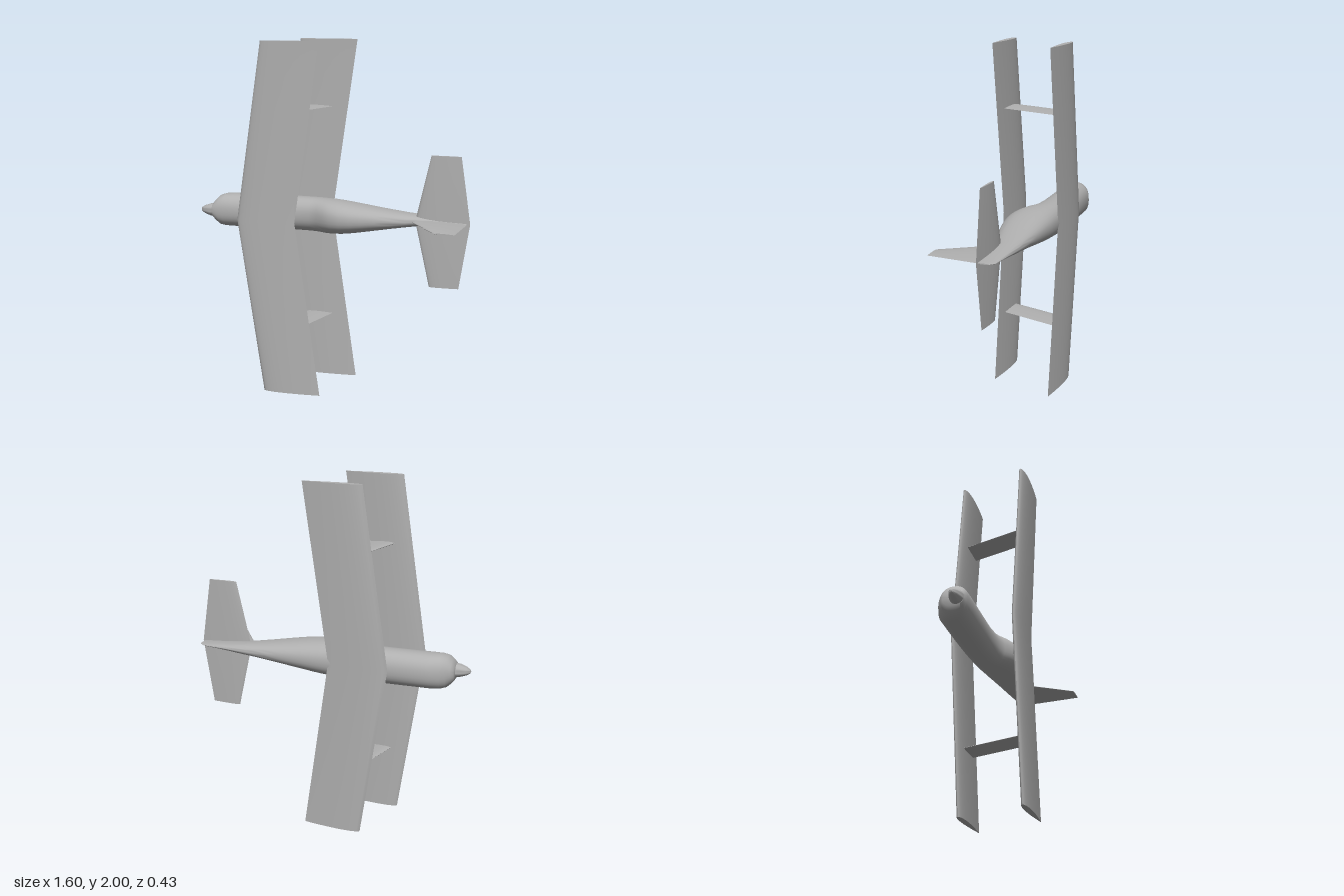
import * as THREE from 'three';
import { toCreasedNormals } from 'three/addons/utils/BufferGeometryUtils.js';

const grey = new THREE.MeshStandardMaterial({ color: 0xb0b0b0 });
grey.name = 'plain grey';

// Skin a row of closed rings and cap both ends; winding is fixed by signed volume.
function loft(name, rings, crease = 0.6) {
  const n = rings[0].length;
  const points = rings.flat();
  const index = [];
  for (let r = 0; r < rings.length - 1; r++) {
    for (let i = 0; i < n; i++) {
      const a = r * n + i, b = r * n + (i + 1) % n;
      index.push(a, b, b + n, a, b + n, a + n);
    }
  }
  // end caps as fans around the ring centres
  const cap = (start, flip) => {
    const centre = new THREE.Vector3();
    for (let i = 0; i < n; i++) centre.addScaledVector(points[start + i], 1 / n);
    const c = points.push(centre) - 1;
    for (let i = 0; i < n; i++) {
      const a = start + i, b = start + (i + 1) % n;
      index.push(c, flip ? b : a, flip ? a : b);
    }
  };
  cap(0, true);
  cap((rings.length - 1) * n, false);

  let volume = 0;
  const cross = new THREE.Vector3();
  for (let i = 0; i < index.length; i += 3) {
    cross.crossVectors(points[index[i + 1]], points[index[i + 2]]);
    volume += points[index[i]].dot(cross);
  }
  if (volume < 0) index.reverse();

  const geometry = new THREE.BufferGeometry().setFromPoints(points);
  geometry.setIndex(index);
  const mesh = new THREE.Mesh(toCreasedNormals(geometry, crease), grey);
  mesh.name = name;
  return mesh;
}

// Symmetric aerofoil as [chord fraction, offset] pairs.
function aerofoil(lead, trail, thickness, steps = 14) {
  const pts = [];
  const half = (t) => 5 * thickness *
    (0.2969 * Math.sqrt(t) - 0.126 * t - 0.3516 * t * t + 0.2843 * t ** 3 - 0.1036 * t ** 4);
  for (let i = 0; i < 2 * steps; i++) {
    const a = (i / steps) * Math.PI;
    const t = (1 + Math.cos(a)) / 2;
    pts.push([lead + (trail - lead) * t, (i <= steps ? 1 : -1) * half(t)]);
  }
  return pts;
}

// Surface spanning y, from stations [y, lead x, trail x, thickness] at height z.
function spanSurface(name, z, stations) {
  return loft(name, stations.map(([y, lead, trail, th]) =>
    aerofoil(lead, trail, th).map(([x, d]) => new THREE.Vector3(x, y, z + d))));
}

// Surface standing along z, from stations [z, lead x, trail x, thickness].
function uprightSurface(name, y, stations) {
  return loft(name, stations.map(([z, lead, trail, th]) =>
    aerofoil(lead, trail, th).map(([x, d]) => new THREE.Vector3(x, y + d, z))));
}

function createFuselage() {
  // x, belly z, top z, half width
  const profile = [
    [-0.72, -0.125, -0.008, 0.045], [-0.705, -0.14, -0.003, 0.065],
    [-0.68, -0.157, 0, 0.088], [-0.65, -0.174, 0, 0.096], [-0.6, -0.192, 0, 0.098],
    [-0.4, -0.2, -0.01, 0.098], [-0.22, -0.204, -0.018, 0.098],
    [-0.12, -0.204, -0.012, 0.098], [-0.07, -0.204, 0.005, 0.098],
    [-0.03, -0.204, 0.033, 0.098], [0.02, -0.204, 0.054, 0.097],
    [0.08, -0.203, 0.066, 0.092], [0.14, -0.2, 0.062, 0.084],
    [0.2, -0.198, 0.05, 0.075], [0.28, -0.194, 0.03, 0.062],
    [0.36, -0.19, 0.004, 0.05], [0.44, -0.185, -0.022, 0.039],
    [0.5, -0.182, -0.046, 0.032], [0.62, -0.174, -0.055, 0.018],
    [0.755, -0.165, -0.065, 0.006], [0.785, -0.142, -0.075, 0.003],
  ];
  const soften = (v) => Math.sign(v) * Math.abs(v) ** 0.86;
  const rings = profile.map(([x, low, high, w]) => {
    const ring = [];
    for (let i = 0; i < 36; i++) {
      const a = (i / 36) * Math.PI * 2;
      ring.push(new THREE.Vector3(x, 1 + w * soften(Math.cos(a)),
        (low + high) / 2 + ((high - low) / 2) * soften(Math.sin(a))));
    }
    return ring;
  });
  return loft('fuselage', rings, 0.8);
}

function createSpinner() {
  const outline = [[0, 0.085], [0.012, 0.079], [0.024, 0.06], [0.036, 0.025], [0.04, 0], [0, 0]]
    .reverse().map(([r, h]) => new THREE.Vector2(r, h));
  const mesh = new THREE.Mesh(
    toCreasedNormals(new THREE.LatheGeometry(outline, 28), 0.8), grey);
  mesh.rotation.z = Math.PI / 2;
  mesh.position.set(-0.715, 1, -0.047);
  mesh.name = 'spinner';
  return mesh;
}

export function createModel() {
  const model = new THREE.Group();
  model.name = 'biplane';
  model.add(createFuselage(), createSpinner());

  // swept wings, tip to tip along y
  model.add(
    spanSurface('upperWing', 0.178,
      [[0, -0.33, 0.005, 0.038], [1, -0.48, -0.14, 0.038], [2, -0.33, 0.005, 0.038]]),
    spanSurface('lowerWing', -0.202,
      [[0, -0.225, 0.113, 0.038], [1, -0.375, -0.032, 0.038], [2, -0.225, 0.113, 0.038]]));

  // raked struts between the wings
  for (const [name, side] of [['topStrut', 1], ['bottomStrut', -1]]) {
    model.add(uprightSurface(name, 1 + side * 0.618,
      [[-0.2, -0.19, -0.028, 0.014], [0.18, -0.295, -0.135, 0.014]]));
  }

  // tail surfaces
  model.add(
    spanSurface('tailplane', -0.076,
      [[0.625, 0.575, 0.743, 0.014], [1, 0.49, 0.8, 0.026], [1.375, 0.575, 0.743, 0.014]]),
    uprightSurface('fin', 1,
      [[-0.1, 0.44, 0.786, 0.022], [-0.04, 0.48, 0.783, 0.02],
        [0.21, 0.655, 0.766, 0.01], [0.214, 0.66, 0.764, 0.008]]));
  return model;
}
